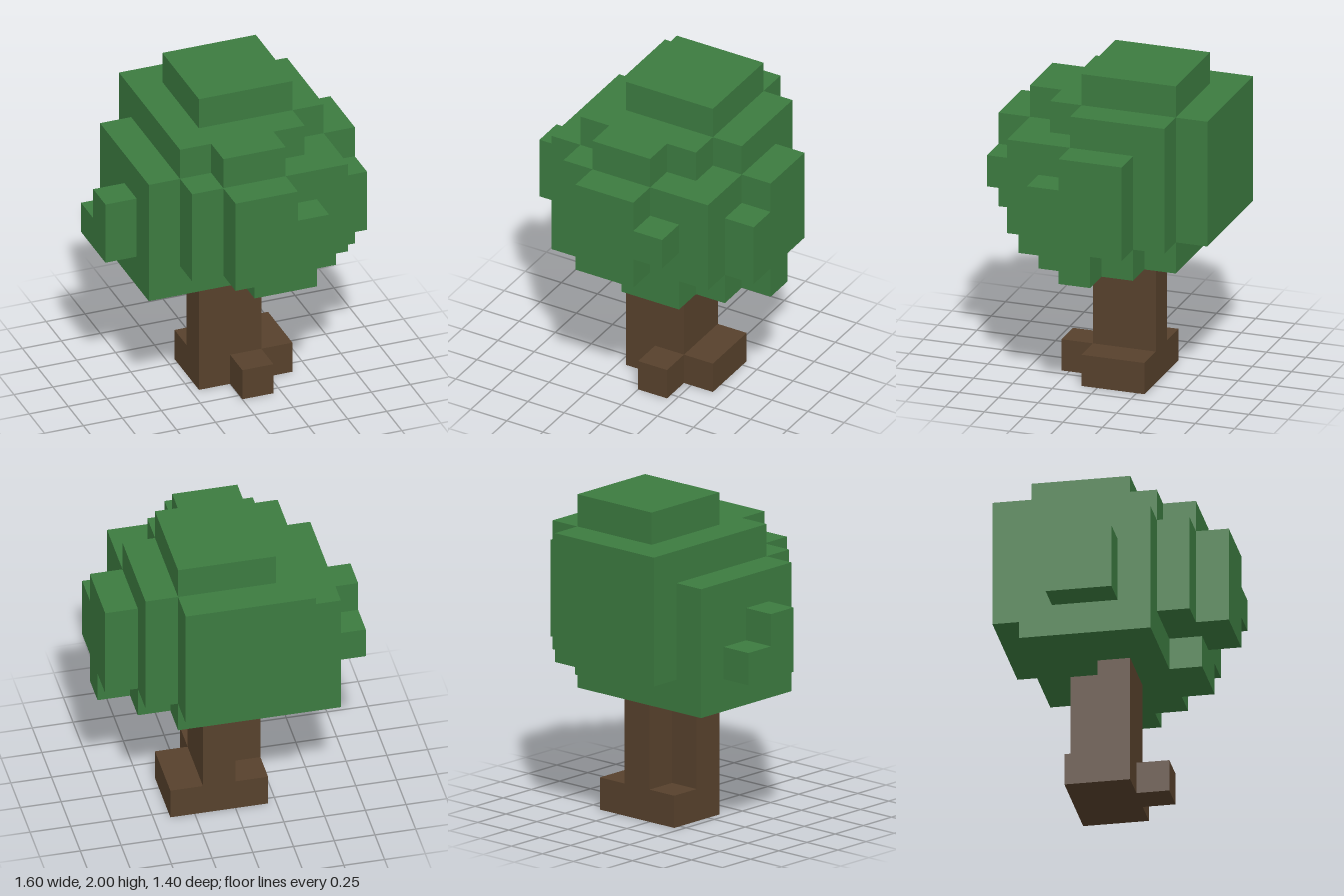
import * as THREE from 'three';

const CELL = 0.2;

// One slab of the blocky tree: rows of [xMin, xMax] in cells, running from back to front.
function slabGeometry(rows, backZ, bottom, height) {
  const right = [], left = [];
  rows.forEach(([x0, x1], i) => {
    const za = backZ + i * CELL, zb = za + CELL;
    right.push(new THREE.Vector2(x1 * CELL, -za), new THREE.Vector2(x1 * CELL, -zb));
    left.push(new THREE.Vector2(x0 * CELL, -za), new THREE.Vector2(x0 * CELL, -zb));
  });
  // Drop repeated points and points in the middle of a straight edge
  const ring = [...right, ...left.reverse()].filter((p, i, a) => i === 0 || !p.equals(a[i - 1]));
  const outline = ring.filter((p, i, a) => {
    const q = a[(i + a.length - 1) % a.length], r = a[(i + 1) % a.length];
    return Math.abs((p.x - q.x) * (r.y - p.y) - (p.y - q.y) * (r.x - p.x)) > 1e-6;
  });
  const geometry = new THREE.ExtrudeGeometry(new THREE.Shape(outline), {
    depth: height * CELL, bevelEnabled: false,
  });
  return geometry.rotateX(-Math.PI / 2).translate(0, bottom * CELL, 0);
}

export function createModel() {
  const model = new THREE.Group();
  model.name = 'tree';
  const leafGreen = new THREE.MeshStandardMaterial({ color: 0x3c7b40 });
  leafGreen.name = 'leafGreen';
  const barkBrown = new THREE.MeshStandardMaterial({ color: 0x57412c });
  barkBrown.name = 'barkBrown';

  const addSlab = (name, material, backZ, bottom, height, rows) => {
    const mesh = new THREE.Mesh(slabGeometry(rows, backZ, bottom, height), material);
    mesh.name = name;
    model.add(mesh);
  };

  // Trunk with spreading roots
  addSlab('roots', barkBrown, -0.3, 0, 1, [[-1, 2], [-1, 2], [0, 1]]);
  addSlab('trunk', barkBrown, -0.3, 1, 3, [[0, 1], [-1, 1]]);

  // Crown, one layer of leaves at a time from the bottom up
  addSlab('crownBase', leafGreen, -0.5, 4, 1,
    [[-3, 2], [-3, 3], [-3, 4], [-3, 3], [0, 2]]);
  addSlab('crownLower', leafGreen, -0.7, 5, 1,
    [[-2, 2], [-3, 3], [-4, 4], [-4, 4], [-3, 4], [-2, 3], [-1, 1]]);
  addSlab('crownMiddle', leafGreen, -0.7, 6, 1,
    [[-2, 2], [-3, 3], [-3, 4], [-4, 4], [-3, 4], [-2, 3], [-1, 2]]);
  addSlab('crownUpper', leafGreen, -0.7, 7, 1,
    [[-2, 2], [-3, 3], [-3, 4], [-3, 4], [-3, 3], [-2, 3], [-1, 1]]);
  addSlab('crownShoulder', leafGreen, -0.7, 8, 1,
    [[-2, 2], [-2, 3], [-2, 3], [-2, 3], [-2, 2], [-1, 1]]);
  addSlab('crownTop', leafGreen, -0.5, 9, 1,
    [[-1, 2], [-1, 2], [-1, 2]]);

  return model;
}
